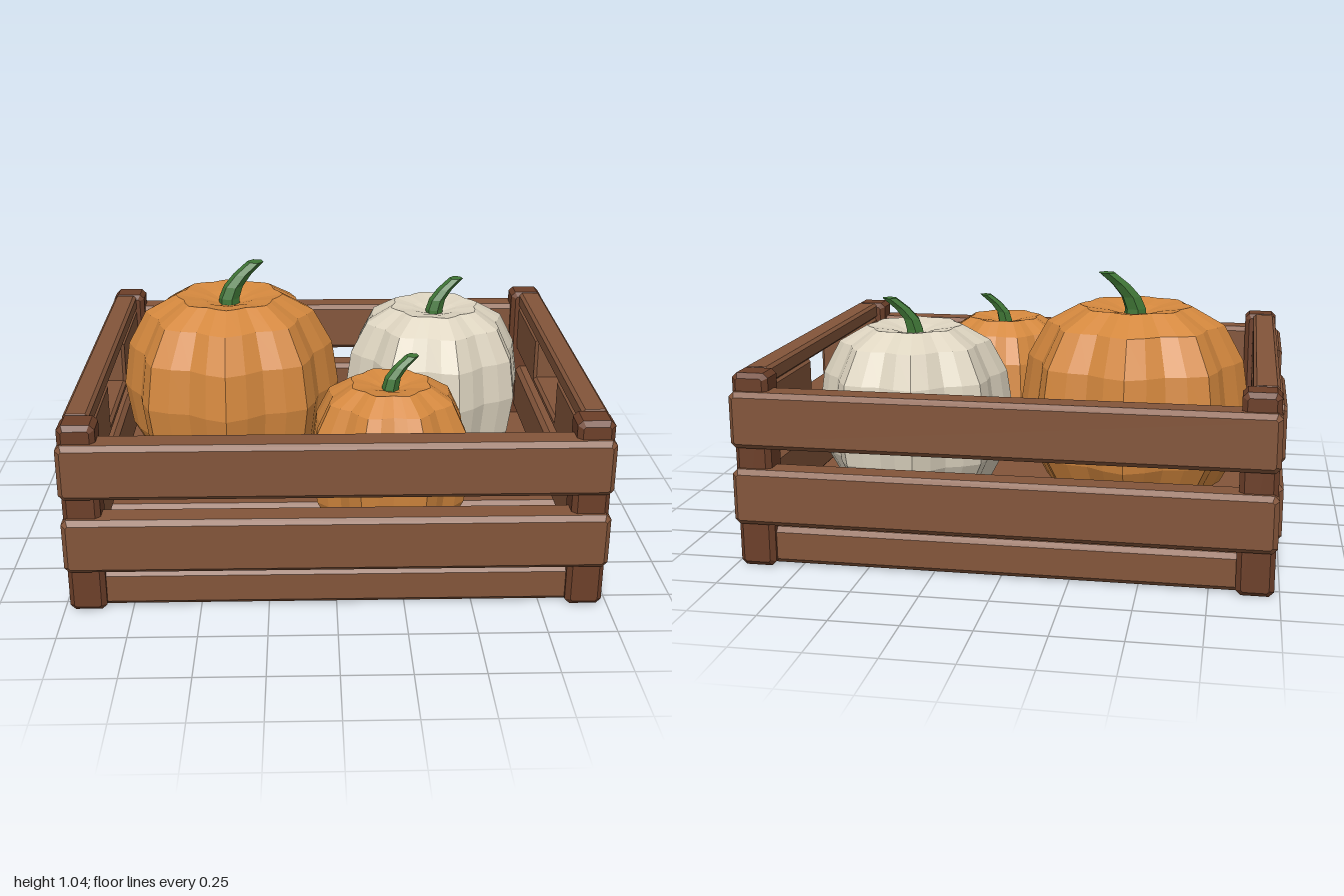
import * as THREE from 'three';

const mat = (color) => new THREE.MeshStandardMaterial({ color, flatShading: true });

// Outline extruded along z with chamfered front and back edges, centred on z = 0
function chamferedExtrude(points, depth, bevel) {
  const shape = new THREE.Shape(points.map(([x, y]) => new THREE.Vector2(x, y)));
  const geo = new THREE.ExtrudeGeometry(shape, {
    depth: depth - 2 * bevel, bevelSize: bevel, bevelThickness: bevel, bevelOffset: -bevel, bevelSegments: 1,
  });
  return geo.translate(0, 0, bevel - depth / 2);
}

// Box with all edges chamfered, given by its limits
function board(name, material, [x0, x1], [y0, y1], [z0, z1], b = 0.018) {
  const w = (x1 - x0) / 2, h = (y1 - y0) / 2;
  const outline = [
    [-w + b, -h], [w - b, -h], [w, -h + b], [w, h - b],
    [w - b, h], [-w + b, h], [-w, h - b], [-w, -h + b],
  ];
  const mesh = new THREE.Mesh(chamferedExtrude(outline, z1 - z0, b), material);
  mesh.position.set((x0 + x1) / 2, (y0 + y1) / 2, (z0 + z1) / 2);
  mesh.name = name;
  return mesh;
}

// Limits mirrored to the side s = 1 or -1
const side = (s, a, b) => (s > 0 ? [a, b] : [-b, -a]);

function createCrate() {
  const crate = new THREE.Group();
  crate.name = 'crate';
  const wood = mat(0x83553a), darkWood = mat(0x6c3f29);
  const rows = [[0.17, 0.38], [0.46, 0.67]];

  // Floor boards
  for (const z of [[-0.79, -0.28], [-0.252, 0.255], [0.28, 0.79]])
    crate.add(board('floorBoard', wood, [-0.965, 0.965], [0.005, 0.145], z));

  for (const s of [1, -1]) {
    // Corner posts
    for (const t of [1, -1])
      crate.add(board('cornerPost', darkWood, side(s, 0.845, 0.98), [0, 0.735], side(t, 0.695, 0.82)));

    // Front and back slats
    for (const y of rows)
      crate.add(board(s > 0 ? 'frontSlat' : 'backSlat', wood, [-0.985, 0.985], y, side(s, 0.73, 0.85)));

    // Side slats: plain below, with a hand notch above, closed by a rail
    crate.add(board('sideSlat', wood, side(s, 0.88, 1), rows[0], [-0.71, 0.71]));
    const [y0, y1] = rows[1], b = 0.018;
    const notched = new THREE.Mesh(chamferedExtrude([
      [-0.71, y0 + b], [-0.71 + b, y0], [0.71 - b, y0], [0.71, y0 + b], [0.71, y1 - b], [0.71 - b, y1],
      [0.235, y1], [0.235, 0.5], [-0.235, 0.5], [-0.235, y1], [-0.71 + b, y1], [-0.71, y1 - b],
    ], 0.12, 0.012), wood);
    notched.rotation.y = Math.PI / 2;
    notched.position.x = s * 0.94;
    notched.name = 'notchedSideSlat';
    crate.add(notched);
    crate.add(board('handleRail', wood, side(s, 0.88, 0.975), [0.665, 0.735], [-0.71, 0.71], 0.012));
  }
  return crate;
}

// Ribbed pumpkin with eight lobes, standing on its group's origin
function createPumpkin(name, color, stemMaterial, { x, z, radius, height, turn, stem }) {
  const group = new THREE.Group();
  group.name = name;
  group.position.set(x, 0.14, z);

  // Body: radius and height fractions, bottom to top
  const profile = [
    [0, 0.05], [0.26, 0.02], [0.49, 0], [0.77, 0.09], [0.94, 0.27], [1, 0.5],
    [0.94, 0.73], [0.77, 0.91], [0.49, 1], [0.26, 0.98], [0, 0.94],
  ].map(([r, y]) => new THREE.Vector2(r * radius, y * height));
  const geo = new THREE.LatheGeometry(profile, 32);
  const p = geo.attributes.position;
  for (let i = 0; i < p.count; i++) {
    const angle = Math.atan2(p.getX(i), p.getZ(i));
    const k = 1 - 0.06 * (1 - Math.cos(8 * angle));
    p.setX(i, p.getX(i) * k);
    p.setZ(i, p.getZ(i) * k);
  }
  const body = new THREE.Mesh(geo, mat(color));
  body.rotation.y = turn;
  body.name = 'pumpkinBody';
  group.add(body);

  // Stem: tapered and bent to one side
  const sink = 0.06, length = 0.13 * stem + sink;
  const stemGeo = new THREE.CylinderGeometry(0.034 * stem, 0.046 * stem, length, 6, 4);
  stemGeo.translate(0, length / 2, 0);
  const q = stemGeo.attributes.position;
  for (let i = 0; i < q.count; i++) {
    const t = Math.max(0, (q.getY(i) - sink) / (length - sink));
    q.setX(i, q.getX(i) + 0.115 * stem * (0.45 * t + 0.55 * t * t));
  }
  const stalk = new THREE.Mesh(stemGeo, stemMaterial);
  stalk.position.y = height - sink;
  stalk.rotation.y = 0.3;
  stalk.name = 'stem';
  group.add(stalk);
  return group;
}

export function createModel() {
  const model = new THREE.Group();
  model.name = 'pumpkinCrate';
  const green = mat(0x3f7636);
  model.add(
    createCrate(),
    createPumpkin('largePumpkin', 0xd4883e, green, { x: -0.42, z: -0.15, radius: 0.45, height: 0.77, turn: 0, stem: 1 }),
    createPumpkin('whitePumpkin', 0xddd4c0, green, { x: 0.44, z: -0.255, radius: 0.385, height: 0.685, turn: 0.2, stem: 0.84 }),
    createPumpkin('smallPumpkin', 0xd4883e, green, { x: 0.21, z: 0.44, radius: 0.32, height: 0.605, turn: Math.PI / 8, stem: 0.75 }),
  );
  return model;
}
